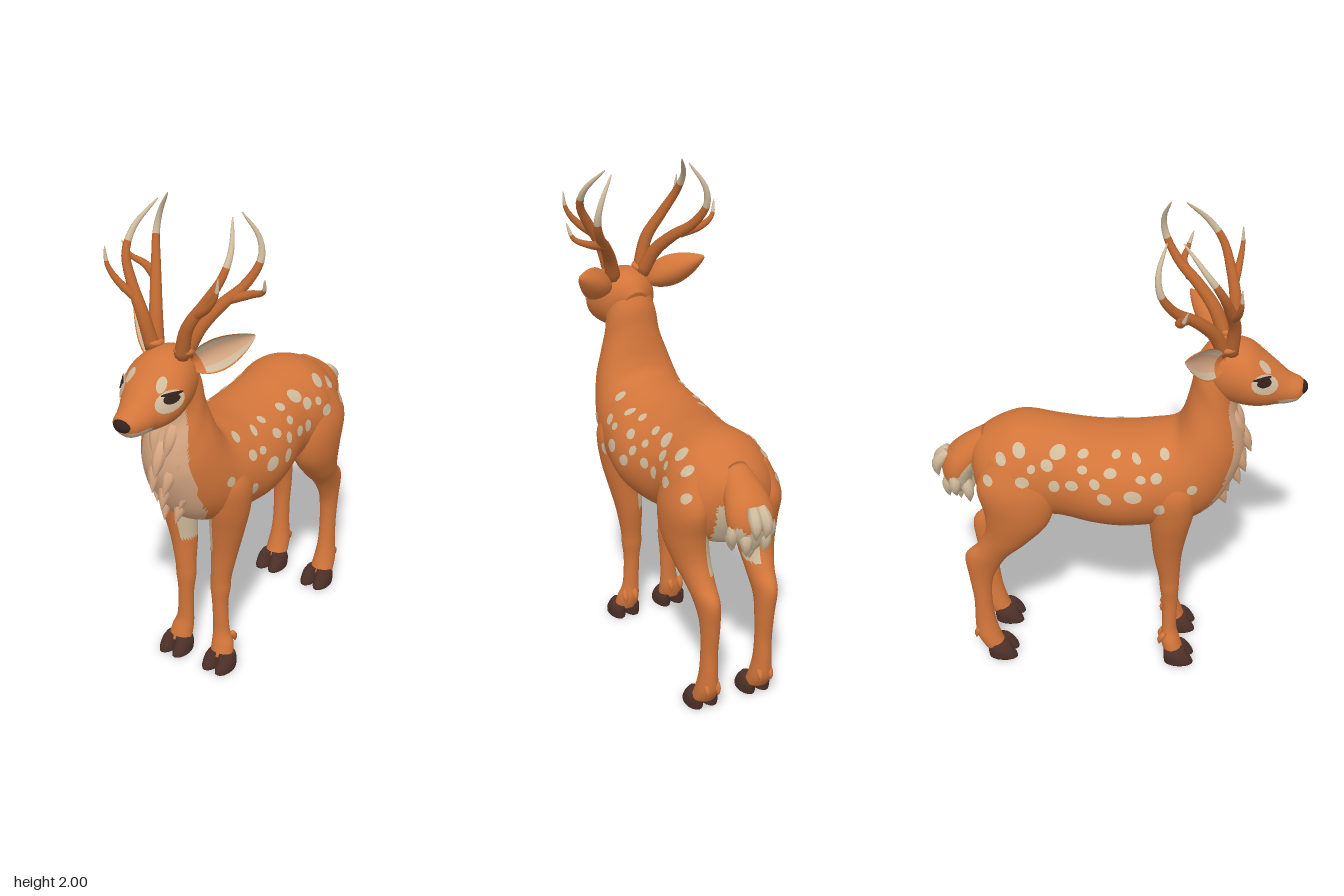
import * as THREE from 'three';
import { mergeGeometries } from 'three/addons/utils/BufferGeometryUtils.js';

const V = (x, y, z) => new THREE.Vector3(x, y, z);
const COAT = 0, CREAM = 1, BIB = 2, HOOF = 3, DARK = 4, ANTLER = 5;

function makeMaterials() {
  const list = [['coat', 0xd2753a], ['cream', 0xd0bb9c], ['bib', 0xd9a984],
    ['hoof', 0x4c3028], ['dark', 0x33211d], ['antler', 0xb9652f]];
  return list.map(([name, color]) => {
    const m = new THREE.MeshStandardMaterial({ color });
    m.name = name;
    return m;
  });
}

// Closed surface from fn(u, angle); rule(point, angle, u) picks a material per face
function surface(fn, nU, nA, rule) {
  const pos = [], lists = [];
  const put = (p) => pos.push(p.x, p.y, p.z);
  for (let i = 0; i <= nU; i++)
    for (let j = 0; j < nA; j++) put(fn(i / nU, (j / nA) * Math.PI * 2));
  for (const u of [0, 1]) {
    const c = V(0, 0, 0);
    for (let j = 0; j < nA; j++) c.addScaledVector(fn(u, (j / nA) * Math.PI * 2), 1 / nA);
    put(c);
  }
  const first = (nU + 1) * nA, at = (i, j) => i * nA + (j % nA);
  const get = (k) => V(pos[3 * k], pos[3 * k + 1], pos[3 * k + 2]);
  const face = (a, b, c, j, i) => {
    const p = get(a).add(get(b)).add(get(c)).divideScalar(3);
    const m = typeof rule === 'number' ? rule : rule(p, ((j + 0.5) / nA) * Math.PI * 2, (i + 0.5) / nU);
    (lists[m] ??= []).push(a, b, c);
  };
  for (let j = 0; j < nA; j++) {
    face(first, at(0, j), at(0, j + 1), j, 0);
    for (let i = 0; i < nU; i++) {
      face(at(i, j), at(i + 1, j), at(i, j + 1), j, i);
      face(at(i, j + 1), at(i + 1, j), at(i + 1, j + 1), j, i);
    }
    face(first + 1, at(nU, j + 1), at(nU, j), j, nU - 1);
  }
  const g = new THREE.BufferGeometry(), index = [];
  lists.forEach((l, m) => { g.addGroup(index.length, l.length, m); index.push(...l); });
  g.setAttribute('position', new THREE.Float32BufferAttribute(pos, 3));
  g.setIndex(index);
  g.computeVertexNormals();
  return g;
}

// Smooth loft; each ring is [z1, y1, z2, y2, xCentre, halfWidth]
function loft(rings, nA, rule, steps = 6) {
  const n = rings.length - 1;
  const sample = (u, k) => {
    const i = Math.min(Math.floor(u * n + 1e-9), n - 1), t = u * n - i;
    const [a, b, c, d] = [-1, 0, 1, 2].map((o) => rings[Math.min(n, Math.max(0, i + o))][k]);
    return b + 0.5 * t * (c - a + t * (2 * a - 5 * b + 4 * c - d + t * (3 * (b - c) + d - a)));
  };
  return surface((u, a) => {
    const [z1, y1, z2, y2, x, w] = [0, 1, 2, 3, 4, 5].map((k) => sample(u, k));
    const c = Math.cos(a) / 2;
    return V(x + Math.sin(a) * w, (y1 + y2) / 2 + c * (y1 - y2), (z1 + z2) / 2 + c * (z1 - z2));
  }, n * steps, nA, rule);
}

// Tapering curved horn or tuft of fur
function spike(points, r, rule, radius = (u) => Math.pow(1 - u, 0.7) + 0.08, nU = 22, nA = 10) {
  const curve = new THREE.CatmullRomCurve3(points.map((p) => V(...p)));
  const f = curve.computeFrenetFrames(nU);
  return surface((u, a) => {
    const i = Math.round(u * nU), q = r * radius(u);
    return curve.getPointAt(u).addScaledVector(f.binormals[i], Math.cos(a) * q)
      .addScaledVector(f.normals[i], Math.sin(a) * q);
  }, nU, nA, rule);
}
const tuft = (points, r, m) => spike(points, r, m, (u) => Math.sin(Math.PI * (0.25 + 0.74 * u)), 8, 8);

function mirror(geo) {
  const g = geo.clone().scale(-1, 1, 1), ix = g.index.array;
  for (let i = 0; i < ix.length; i += 3) [ix[i], ix[i + 1]] = [ix[i + 1], ix[i]];
  return g;
}

// Thin oval patch laid on the target meshes, seen along dir
function patch(targets, centre, dir, ru, rv, rot = 0, lift = 0.004) {
  const d = dir.clone().normalize(), v0 = V(0, 1, 0).addScaledVector(d, -d.y).normalize();
  const u0 = V(0, 0, 0).crossVectors(v0, d), ray = new THREE.Raycaster();
  const pos = [], index = [], N = 16;
  let last = centre.clone();
  const drop = (s, a) => {
    const x = s * ru * Math.cos(a), y = s * rv * Math.sin(a);
    const p = centre.clone().addScaledVector(u0, x * Math.cos(rot) - y * Math.sin(rot))
      .addScaledVector(v0, x * Math.sin(rot) + y * Math.cos(rot));
    ray.set(p.addScaledVector(d, 1), d.clone().negate());
    const hit = ray.intersectObjects(targets)[0];
    if (hit) last = hit.point.clone().addScaledVector(hit.face.normal, lift);
    pos.push(last.x, last.y, last.z);
  };
  drop(0, 0);
  for (const s of [0.5, 1]) for (let j = 0; j < N; j++) drop(s, (j / N) * Math.PI * 2);
  for (let j = 0; j < N; j++) {
    const k = (j + 1) % N, a = 1 + j, b = 1 + k;
    index.push(0, a, b, a, a + N, b + N, a, b + N, b);
  }
  const g = new THREE.BufferGeometry();
  g.setAttribute('position', new THREE.Float32BufferAttribute(pos, 3));
  g.setIndex(index);
  g.computeVertexNormals();
  return g;
}

export function createModel() {
  const root = new THREE.Group(), mats = makeMaterials();
  root.name = 'deer';
  const add = (name, g, m) => {
    if (m === undefined && g.groups.length === 1) m = g.groups[0].materialIndex;
    if (m !== undefined) g.clearGroups();
    const mesh = new THREE.Mesh(g, m === undefined ? mats : mats[m]);
    mesh.name = name;
    root.add(mesh);
    return mesh;
  };
  const pair = (name, g, m) => {
    add(name + 'Right', mirror(g), m);
    return add(name + 'Left', g, m);
  };

  // Torso and neck, rump to nape
  const torso = add('torso', loft([
    [-0.6, 0.98, -0.59, 0.86, 0, 0.04], [-0.56, 1.04, -0.555, 0.78, 0, 0.13], [-0.48, 1.095, -0.5, 0.71, 0, 0.185],
    [-0.38, 1.125, -0.38, 0.69, 0, 0.215], [-0.24, 1.11, -0.24, 0.695, 0, 0.2], [-0.1, 1.085, -0.1, 0.675, 0, 0.225],
    [0.03, 1.08, 0.02, 0.67, 0, 0.24], [0.14, 1.1, 0.14, 0.675, 0, 0.225], [0.22, 1.125, 0.27, 0.69, 0, 0.205],
    [0.25, 1.17, 0.4, 0.78, 0, 0.185], [0.27, 1.24, 0.485, 0.95, 0, 0.155], [0.285, 1.31, 0.495, 1.08, 0, 0.125],
    [0.3, 1.39, 0.465, 1.2, 0, 0.108], [0.34, 1.46, 0.47, 1.28, 0, 0.095]], 64, (p, a) => {
    if (p.z < -0.5 && Math.abs(p.x) < 0.1 && p.y < 0.92) return CREAM;
    if (p.z > 0.26 && Math.cos(a) < 0 && Math.abs(p.x) < Math.min(0.125, (p.y - 0.62) * 0.7, 0.125 - (p.y - 0.95) * 0.13)) return BIB;
    return p.y < 0.735 + 0.01 * Math.sin(p.z * 30) && p.z < 0.3 ? CREAM : COAT;
  }, 8));

  // Legs with cloven hooves and dewclaws
  const foreLeg = pair('frontLeg', loft([
    [0.29, 1.0, 0.13, 1.0, 0.12, 0.05], [0.32, 0.9, 0.12, 0.88, 0.145, 0.075], [0.31, 0.78, 0.13, 0.75, 0.132, 0.08],
    [0.285, 0.66, 0.14, 0.64, 0.115, 0.07], [0.265, 0.54, 0.15, 0.54, 0.1, 0.056], [0.258, 0.42, 0.172, 0.42, 0.088, 0.043],
    [0.256, 0.36, 0.178, 0.36, 0.085, 0.042], [0.252, 0.28, 0.188, 0.28, 0.085, 0.033], [0.25, 0.16, 0.19, 0.16, 0.09, 0.035],
    [0.265, 0.1, 0.185, 0.1, 0.1, 0.046], [0.28, 0.05, 0.2, 0.045, 0.105, 0.05]], 32,
  (p, a) => (Math.sin(a) < -0.35 && p.y > 0.55 && p.y < 0.74 ? CREAM : COAT)));
  const hindLeg = pair('hindLeg', loft([
    [-0.3, 1.02, -0.5, 1.02, 0.12, 0.06], [-0.25, 0.87, -0.555, 0.89, 0.15, 0.085], [-0.265, 0.73, -0.53, 0.76, 0.15, 0.083],
    [-0.36, 0.61, -0.53, 0.66, 0.14, 0.068], [-0.44, 0.53, -0.565, 0.58, 0.13, 0.053], [-0.49, 0.45, -0.62, 0.515, 0.125, 0.042],
    [-0.515, 0.38, -0.61, 0.4, 0.12, 0.037], [-0.52, 0.28, -0.595, 0.28, 0.12, 0.034], [-0.51, 0.18, -0.595, 0.18, 0.12, 0.036],
    [-0.49, 0.1, -0.59, 0.1, 0.12, 0.046], [-0.47, 0.05, -0.56, 0.045, 0.12, 0.05]], 32,
  (p, a) => (Math.sin(a) < -0.3 && p.y > 0.6 && p.y < 0.9 && p.z < -0.46 ? CREAM : COAT)));
  for (const [name, x, z] of [['front', 0.108, 0.262], ['hind', 0.118, -0.48]]) {
    for (const o of [-0.032, 0.032]) {
      pair(name + 'Hoof', loft([
        [z + 0.025, 0.07, z - 0.062, 0.06, x + o * 0.8, 0.026], [z + 0.042, 0.045, z - 0.062, 0.04, x + o, 0.032],
        [z + 0.06, 0.015, z - 0.06, 0.012, x + o, 0.034], [z + 0.062, 0, z - 0.058, 0, x + o, 0.033]], 16, HOOF, 3));
      const b = z - (name === 'front' ? 0.06 : 0.09);
      pair(name + 'Dewclaw', tuft([[x + o * 0.7, 0.14, b], [x + o * 0.7, 0.11, b - 0.018], [x + o * 0.7, 0.085, b - 0.022]], 0.014, COAT));
    }
  }

  // Head and nose
  const head = add('head', loft([
    [0.31, 1.44, 0.36, 1.33, 0, 0.05], [0.35, 1.49, 0.4, 1.265, 0, 0.1], [0.42, 1.512, 0.46, 1.245, 0, 0.125],
    [0.5, 1.495, 0.52, 1.238, 0, 0.134], [0.56, 1.45, 0.57, 1.238, 0, 0.115], [0.61, 1.41, 0.61, 1.24, 0, 0.086],
    [0.66, 1.367, 0.65, 1.243, 0, 0.067], [0.705, 1.345, 0.69, 1.255, 0, 0.052], [0.722, 1.32, 0.712, 1.28, 0, 0.028]], 48,
  (p) => (p.z > 0.46 && p.y < 1.268 + 0.02 * (p.z > 0.62) ? CREAM : COAT)));
  const nose = new THREE.SphereGeometry(1, 24, 16).scale(0.04, 0.028, 0.03).translate(0, 1.31, 0.703);
  add('nose', nose, DARK);

  // Eyes with pale surrounds and a dark upper lid
  const look = V(1, 0.1, 0.75), eye = V(0.1, 1.385, 0.55);
  pair('eyeSurround', patch([head], V(0.098, 1.375, 0.557), look, 0.06, 0.038, 0.3), CREAM);
  pair('browPatch', patch([head], V(0.07, 1.43, 0.56), look, 0.03, 0.016, 0.9), CREAM);
  pair('eye', patch([head], eye, look, 0.032, 0.017, 0.15, 0.008), DARK);
  pair('eyelid', patch([head], V(0.1, 1.401, 0.545), look, 0.042, 0.006, 0.1, 0.009), DARK);

  // Cupped ears
  const axis = V(0.2, 0.13, -0.15).normalize();
  const out = V(0.5, 0, 0.85).addScaledVector(axis, -V(0.5, 0, 0.85).dot(axis)).normalize();
  const across = V(0, 0, 0).crossVectors(axis, out);
  pair('ear', surface((u, a) => {
    const w = 0.064 * Math.pow(Math.sin(Math.PI * (0.12 + 0.87 * Math.pow(u, 0.85))), 0.8) + 0.001;
    const v = Math.cos(a), s = Math.sin(a);
    return V(0.095, 1.45, 0.4).addScaledVector(axis, u * 0.255).addScaledVector(across, v * w)
      .addScaledVector(out, w * (0.55 * v * v - 0.35) + s * (s > 0 ? 0.05 : 0.35) * w);
  }, 24, 32, (p, a, u) => (Math.sin(a) > 0 && Math.abs(Math.cos(a)) < 0.93 && u > 0.12 ? (Math.abs(Math.cos(a)) < 0.5 ? BIB : CREAM) : COAT)));

  // Antlers: two beams a side, each with a side tine, pale at the tips
  const tip = (from) => (p, a, u) => (u > from ? CREAM : ANTLER);
  pair('frontAntler', spike([[0.065, 1.49, 0.43], [0.1, 1.62, 0.44], [0.16, 1.72, 0.42], [0.212, 1.82, 0.385],
    [0.214, 1.9, 0.33], [0.165, 1.995, 0.245]], 0.027, tip(0.66)));
  pair('frontTine', spike([[0.125, 1.67, 0.43], [0.2, 1.73, 0.45], [0.24, 1.79, 0.46], [0.25, 1.86, 0.46]], 0.018, tip(0.75)));
  pair('rearAntler', spike([[0.065, 1.49, 0.405], [0.1, 1.59, 0.36], [0.15, 1.67, 0.29], [0.2, 1.73, 0.22],
    [0.235, 1.82, 0.167], [0.222, 1.9, 0.157], [0.165, 1.995, 0.185]], 0.028, tip(0.7)));
  pair('rearTine', spike([[0.165, 1.685, 0.265], [0.24, 1.71, 0.235], [0.3, 1.74, 0.25], [0.32, 1.8, 0.27]], 0.019, tip(0.75)));
  pair('antlerBase', new THREE.TorusGeometry(0.027, 0.012, 10, 20).rotateX(1.4).translate(0.068, 1.512, 0.42), COAT);

  // Chest fur
  [[1.14, 0.475], [1.06, 0.495], [0.98, 0.488], [0.9, 0.457], [0.82, 0.415]].forEach(([y, z], i) => {
    for (const x of i % 2 ? [0, -0.07, 0.07] : [-0.035, 0.035]) {
      const f = z - x * x * 9;
      add('chestTuft', tuft([[x, y + 0.07, f - 0.028], [x * 0.95, y, f + 0.006], [x * 0.75, y - 0.065, f + 0.032]], 0.028, BIB));
    }
  });

  // Tail with a pale underside and ragged tufts
  add('tail', loft([
    [-0.52, 0.93, -0.54, 1.07, 0, 0.06], [-0.57, 0.88, -0.63, 1.01, 0, 0.085], [-0.59, 0.84, -0.69, 0.95, 0, 0.095],
    [-0.6, 0.8, -0.715, 0.88, 0, 0.085], [-0.62, 0.77, -0.7, 0.81, 0, 0.055], [-0.64, 0.75, -0.68, 0.765, 0, 0.02]], 32,
  (p, a) => (Math.cos(a) > 0.25 || p.y < 0.865 + 0.015 * Math.sin(p.x * 110) ? CREAM : COAT)));
  for (const [x, y, z] of [[0, 0.71, -0.645], [-0.035, 0.745, -0.685], [0.035, 0.745, -0.685], [-0.05, 0.73, -0.6],
    [0.05, 0.73, -0.6], [-0.07, 0.77, -0.65], [0.07, 0.77, -0.65], [-0.02, 0.83, -0.728], [0.02, 0.83, -0.728]])
    add('tailTuft', tuft([[x * 0.8, y + 0.12, z * 0.5 - 0.325], [x * 1.15, y + 0.06, z - 0.004], [x, y, z]], 0.026, CREAM));

  // Coat spots: [z, y, radius along, radius up]
  const spots = [[0.07, 0.915, 0.036, 0.025], [-0.04, 0.9, 0.03, 0.022], [0.16, 0.985, 0.022, 0.02], [0.175, 0.85, 0.022, 0.026],
    [0.3, 0.935, 0.02, 0.022], [-0.02, 0.995, 0.026, 0.016], [-0.08, 0.955, 0.022, 0.018], [-0.17, 0.94, 0.026, 0.02],
    [-0.13, 1.0, 0.02, 0.014], [-0.27, 1.01, 0.026, 0.02], [-0.24, 0.93, 0.022, 0.025], [-0.365, 0.95, 0.028, 0.022],
    [-0.38, 1.06, 0.026, 0.022], [-0.23, 1.05, 0.032, 0.022], [0.08, 1.04, 0.02, 0.012], [0.19, 1.06, 0.02, 0.016],
    [-0.13, 1.045, 0.022, 0.012], [-0.45, 1.025, 0.022, 0.02], [-0.5, 0.94, 0.02, 0.02], [0.1, 0.98, 0.02, 0.014],
    [-0.33, 1.0, 0.016, 0.016], [0.0, 1.045, 0.018, 0.01]];
  pair('coatSpots', mergeGeometries(spots.map(([z, y, a, b], i) =>
    patch([torso, foreLeg, hindLeg], V(0, y, z), V(1, 0, 0), a, b, 0.35 * Math.sin(i * 2.3) + 0.2))), CREAM);
  return root;
}
